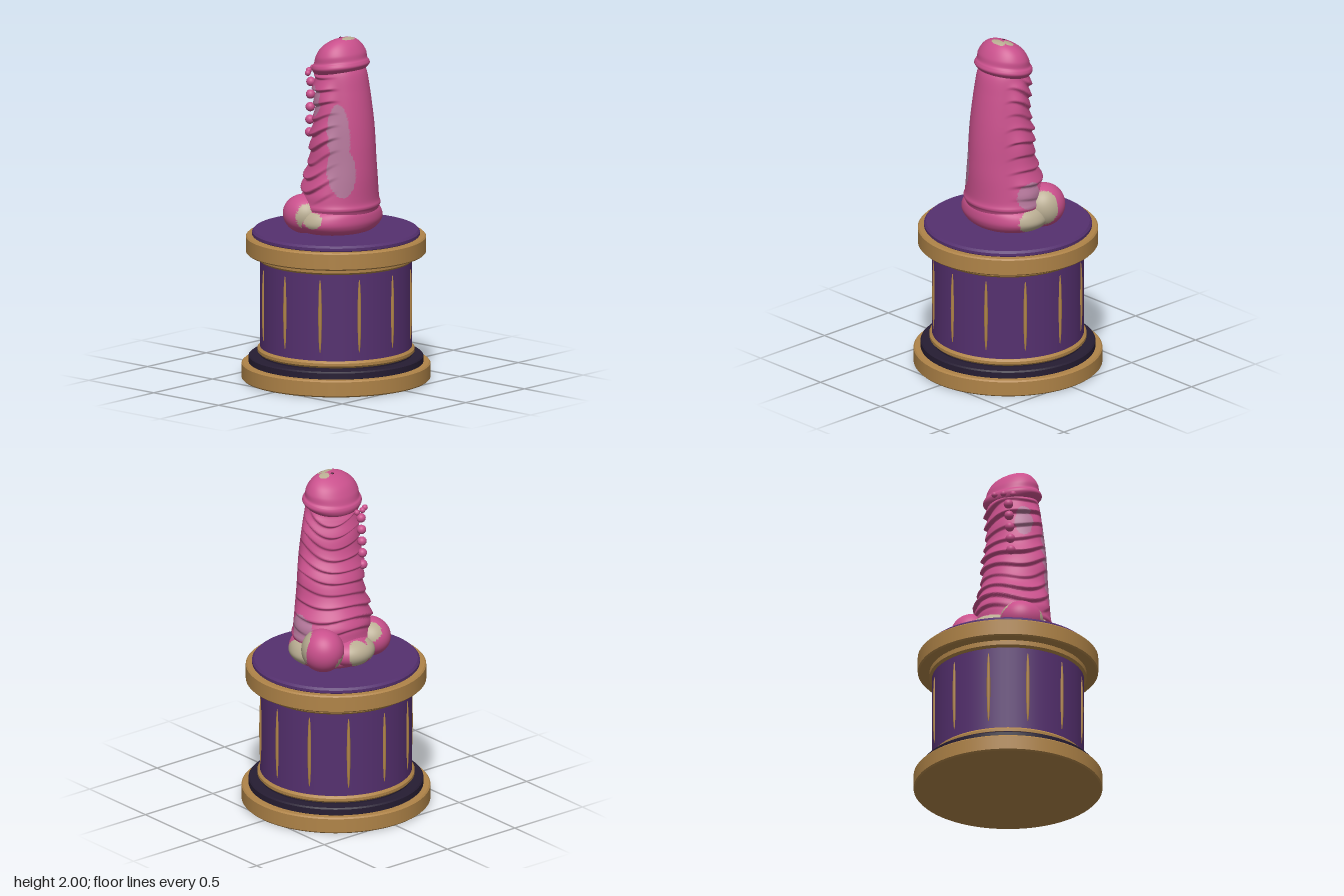
import * as THREE from 'three';

const PINK = 0xc9508c, PALE = 0xb9ad92, BLUSH = 0xb5779b, PURPLE = 0x55306f, GOLD = 0xb08448, DARK = 0x261d33;
const mat = (color) => new THREE.MeshStandardMaterial({ color, side: THREE.DoubleSide });

function add(group, name, geometry, color) {
  const mesh = new THREE.Mesh(geometry, mat(color));
  mesh.name = name;
  group.add(mesh);
  return mesh;
}

// Disc with softened rims
function disc(group, name, y0, y1, r, color, b = 0.008) {
  const p = [[0, y0], [r - b, y0], [r - b, y0], [r, y0 + b], [r, y0 + b], [r, y1 - b], [r, y1 - b], [r - b, y1], [r - b, y1], [0, y1]];
  add(group, name, new THREE.LatheGeometry(p.map(([x, y]) => new THREE.Vector2(x, y)), 72), color);
}

// Oval loft through rows of [y, half width, front z, back z]; shape(angle, y) returns [swell, lift]
function loft(rows, steps, shape = () => [0, 0], sides = 72) {
  const front = new THREE.CatmullRomCurve3(rows.map(([y, w, f]) => new THREE.Vector3(w, y, f)), false, 'catmullrom', 0.5);
  const back = new THREE.CatmullRomCurve3(rows.map(([y, w, f, b]) => new THREE.Vector3(w, y, b)), false, 'catmullrom', 0.5);
  const pos = [], index = [];
  for (let i = 0; i <= steps; i++) {
    const p = front.getPoint(i / steps), q = back.getPoint(i / steps);
    const mid = (p.z + q.z) / 2, depth = (p.z - q.z) / 2;
    for (let j = 0; j < sides; j++) {
      const a = (j / sides) * Math.PI * 2;
      const [swell, lift] = shape(a, p.y);
      pos.push((p.x + swell) * Math.sin(a), p.y + lift, mid + (depth + swell) * Math.cos(a));
      if (i < steps) {
        const u = i * sides + j, v = i * sides + (j + 1) % sides;
        index.push(u, v, v + sides, u, v + sides, u + sides);
      }
    }
  }
  const g = new THREE.BufferGeometry();
  g.setAttribute('position', new THREE.Float32BufferAttribute(pos, 3));
  g.setIndex(index);
  g.computeVertexNormals();
  return g;
}

// Split off the faces inside the patch ellipsoids [x, y, z, rx, ry, rz] as a second colour
function addPatched(group, name, geometry, patches, patchColor = PALE) {
  const P = geometry.attributes.position, idx = geometry.index.array, main = [], spots = [];
  for (let i = 0; i < idx.length; i += 3) {
    const t = [idx[i], idx[i + 1], idx[i + 2]];
    const c = ['getX', 'getY', 'getZ'].map((f) => (P[f](t[0]) + P[f](t[1]) + P[f](t[2])) / 3);
    const inside = patches.some((s) => c.reduce((d, v, k) => d + ((v - s[k]) / s[k + 3]) ** 2, 0) < 1);
    (inside ? spots : main).push(...t);
  }
  const rest = geometry.clone();
  add(group, name, geometry.setIndex(main), PINK);
  add(group, name + 'Patch', rest.setIndex(spots), patchColor);
}

function ellipsoid(x, y, z, rx, ry, rz) {
  return new THREE.SphereGeometry(1, 48, 32).scale(rx, ry, rz).translate(x, y, z);
}

function buildPedestal() {
  const g = new THREE.Group();
  g.name = 'pedestal';
  disc(g, 'foot', 0, 0.097, 0.54, GOLD);
  disc(g, 'darkStep', 0.09, 0.14, 0.5, DARK);
  disc(g, 'neck', 0.13, 0.16, 0.435, DARK);
  disc(g, 'lowerBand', 0.15, 0.19, 0.45, GOLD, 0.012);
  disc(g, 'drum', 0.18, 0.71, 0.435, PURPLE);
  disc(g, 'upperBand', 0.695, 0.745, 0.45, GOLD, 0.012);
  disc(g, 'crown', 0.735, 0.838, 0.516, GOLD);
  disc(g, 'topPlate', 0.83, 0.87, 0.48, PURPLE, 0.012);
  // Twelve slender spindles around the drum
  for (let i = 0; i < 12; i++) {
    const a = (i / 12) * Math.PI * 2;
    const s = add(g, 'spindle', new THREE.SphereGeometry(1, 12, 16), GOLD);
    s.scale.set(0.011, 0.215, 0.011);
    s.position.set(Math.sin(a) * 0.434, 0.45, Math.cos(a) * 0.434);
  }
  return g;
}

function buildSculpture() {
  const g = new THREE.Group();
  g.name = 'sculpture';

  // Shaft: plain in front, overlapping folds on the sides and back
  const folds = (a, y) => {
    const mask = THREE.MathUtils.smoothstep(-Math.cos(a), -0.65, 0.05);
    const fade = THREE.MathUtils.smoothstep(y, 1.03, 1.12) * (1 - THREE.MathUtils.smoothstep(y, 1.76, 1.82));
    const f = y * 13 + 0.35 * Math.sin(a * 2 + y * 5) + 0.25 * Math.sin(a * 3 + 1) - 0.3 * Math.cos(a);
    const s = f - Math.floor(f);
    const saw = s < 0.2 ? s / 0.2 : (1 - s) / 0.8;
    return [mask * fade * 0.024 * saw * (0.8 + 0.3 * Math.sin(y * 23)), 0];
  };
  const shaft = loft([
    [0.9, 0.22, 0.21, -0.16], [1.0, 0.237, 0.238, -0.18], [1.03, 0.243, 0.25, -0.175], [1.07, 0.232, 0.243, -0.168],
    [1.2, 0.208, 0.245, -0.15], [1.3, 0.192, 0.243, -0.13], [1.4, 0.184, 0.239, -0.116], [1.5, 0.178, 0.231, -0.106],
    [1.6, 0.168, 0.219, -0.097], [1.7, 0.16, 0.203, -0.094], [1.8, 0.152, 0.182, -0.1], [1.86, 0.13, 0.15, -0.07],
  ], 220, folds, 96);
  addPatched(g, 'shaft', shaft, [
    [-0.13, 1.24, 0.15, 0.075, 0.16, 0.1], [-0.14, 1.44, 0.14, 0.05, 0.2, 0.09],
    [-0.16, 1.64, -0.03, 0.05, 0.09, 0.06], [0.23, 1.1, 0.04, 0.06, 0.08, 0.09],
  ], BLUSH);

  // Domed cap with a flared rim, tipped down at the back
  const cap = loft([
    [1.79, 0.13, 0.15, -0.08], [1.815, 0.16, 0.172, -0.108], [1.84, 0.18, 0.19, -0.118], [1.86, 0.177, 0.184, -0.115],
    [1.875, 0.166, 0.174, -0.104], [1.91, 0.162, 0.166, -0.09], [1.95, 0.137, 0.145, -0.06], [1.98, 0.097, 0.12, -0.012],
    [1.996, 0.05, 0.095, 0.035], [2.0, 0.001, 0.071, 0.069],
  ], 72, (a, y) => [0, 0.02 * (Math.cos(a) - 0.5) * Math.min(1, (2 - y) * 8)]);
  addPatched(g, 'cap', cap, [[0.01, 1.99, 0.085, 0.05, 0.04, 0.022], [0.05, 1.98, 0.045, 0.032, 0.04, 0.028]]);
  add(g, 'capDimple', ellipsoid(0, 1.991, 0.035, 0.011, 0.008, 0.01), 0x4a1c35);

  // Rounded skirt and the lobes resting on the plate
  const skirt = loft([
    [0.87, 0.001, 0.02, 0.018], [0.87, 0.18, 0.165, -0.15], [0.89, 0.245, 0.215, -0.19], [0.93, 0.28, 0.239, -0.2],
    [0.97, 0.276, 0.242, -0.2], [1.005, 0.25, 0.232, -0.19], [1.03, 0.2, 0.2, -0.15],
  ], 48);
  addPatched(g, 'skirt', skirt, [[0.26, 0.95, 0.04, 0.09, 0.07, 0.1], [-0.27, 0.97, 0.06, 0.05, 0.05, 0.06]]);
  addPatched(g, 'leftLobe', ellipsoid(0.185, 0.995, -0.105, 0.12, 0.127, 0.128),
    [[0.29, 1.02, -0.02, 0.1, 0.13, 0.09], [0.12, 0.93, -0.22, 0.06, 0.05, 0.05]]);
  addPatched(g, 'rightLobe', ellipsoid(-0.185, 0.98, -0.075, 0.12, 0.113, 0.128),
    [[-0.28, 0.98, 0.03, 0.08, 0.1, 0.07], [-0.13, 1.06, -0.17, 0.06, 0.07, 0.06]]);
  addPatched(g, 'backLobe', ellipsoid(0, 0.955, -0.125, 0.15, 0.088, 0.133),
    [[0.02, 0.97, -0.25, 0.07, 0.09, 0.09], [-0.09, 0.97, -0.22, 0.05, 0.08, 0.07]]);

  // Beads: a short row under the cap and a line running down from it
  [[-0.135, 1.79, -0.095], [-0.09, 1.795, -0.128], [-0.035, 1.8, -0.145]].forEach(([x, y, z]) =>
    add(g, 'rowBead', ellipsoid(x, y, z, 0.017, 0.017, 0.017), PINK));
  for (let i = 0; i < 5; i++) {
    add(g, 'lineBead', ellipsoid(-0.103 - i * 0.004, 1.735 - i * 0.073, -0.1 + i * 0.001, 0.027, 0.027, 0.027), PINK);
  }
  return g;
}

export function createModel() {
  const model = new THREE.Group();
  model.name = 'pedestalSculpture';
  model.add(buildPedestal(), buildSculpture());
  return model;
}
